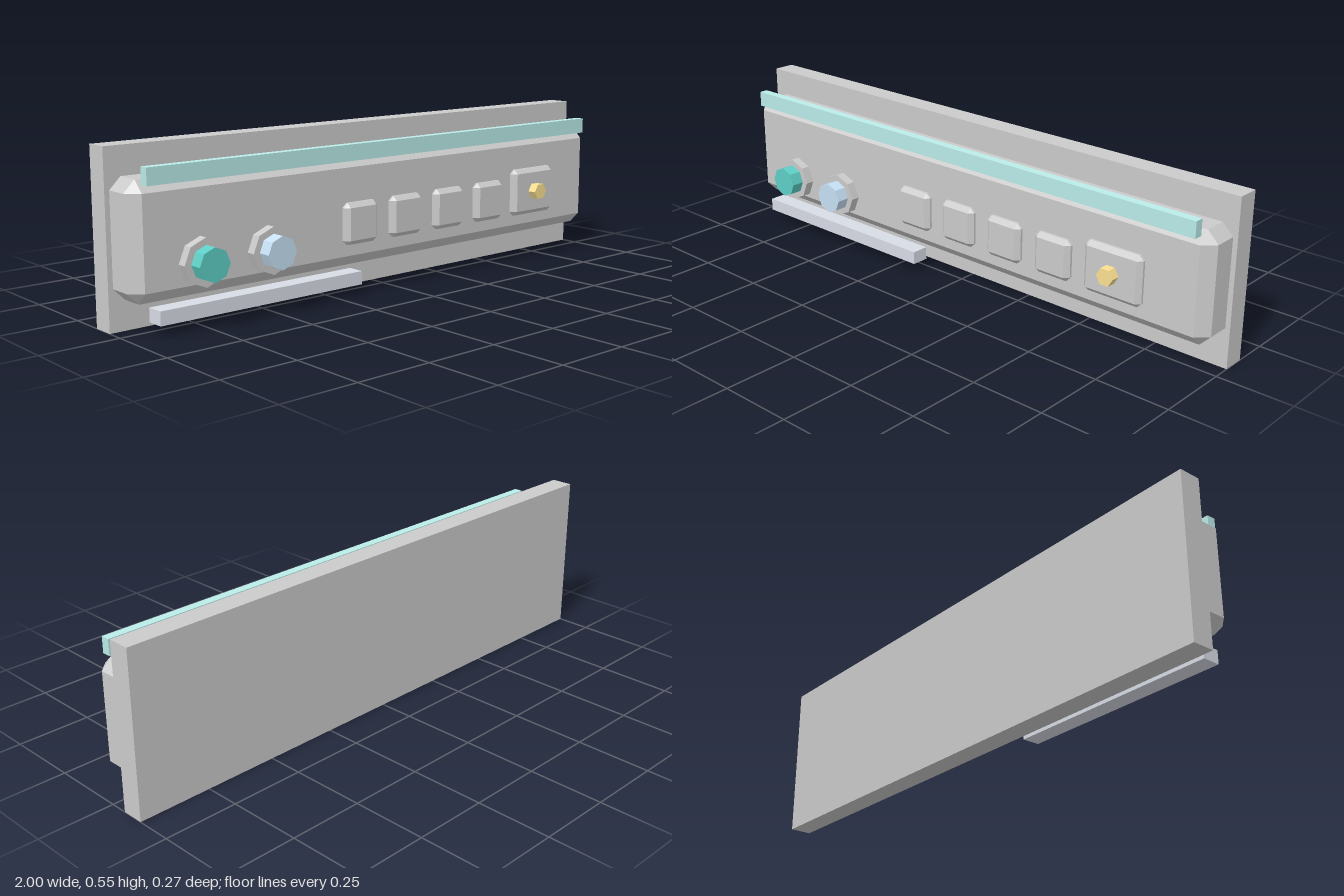
import * as THREE from 'three';
import { ConvexGeometry } from 'three/addons/geometries/ConvexGeometry.js';

const GREY = 0xcccccc;

function add(group, name, geometry, color, x, y, z) {
  const material = new THREE.MeshStandardMaterial({ color, flatShading: true });
  const mesh = new THREE.Mesh(geometry, material);
  mesh.name = name;
  mesh.position.set(x, y, z);
  group.add(mesh);
  return mesh;
}

// Box with every edge cut by a single flat chamfer b
function chamferBox(w, h, d, b) {
  const points = [];
  for (const sx of [-1, 1]) for (const sy of [-1, 1]) for (const sz of [-1, 1]) {
    const [x, y, z] = [w / 2, h / 2, d / 2];
    points.push(
      new THREE.Vector3(sx * x, sy * (y - b), sz * (z - b)),
      new THREE.Vector3(sx * (x - b), sy * y, sz * (z - b)),
      new THREE.Vector3(sx * (x - b), sy * (y - b), sz * z));
  }
  return new ConvexGeometry(points);
}

// Prism facing +z
function prism(radius, depth, sides, turn = 0) {
  return new THREE.CylinderGeometry(radius, radius, depth, sides).rotateY(turn).rotateX(Math.PI / 2);
}

export function createModel() {
  const model = new THREE.Group();
  model.name = 'controlPanel';

  // Wall plate and raised chamfered housing
  add(model, 'backPlate', new THREE.BoxGeometry(2, 0.545, 0.075), GREY, 0, 0.2725, -0.095);
  add(model, 'housing', chamferBox(1.968, 0.362, 0.177, 0.037), GREY, 0, 0.274, -0.0315);

  // Light strip above and tray strip below
  add(model, 'lightStrip', new THREE.BoxGeometry(1.88, 0.053, 0.03), 0xbaece9, 0, 0.467, 0.058);
  add(model, 'lowerStrip', new THREE.BoxGeometry(0.755, 0.044, 0.06), 0xd8dce6, -0.532, 0.055, 0.043);

  // Two octagonal knobs on wider collars
  [[-0.759, 0x5fcfc6], [-0.517, 0xc6e0f4]].forEach(([x, color], i) => {
    const knob = new THREE.Group();
    knob.name = `knob${i + 1}`;
    knob.position.set(x, 0.199, 0);
    add(knob, 'knobCollar', prism(0.075, 0.036, 8), GREY, 0, 0, 0.07);
    add(knob, 'knobCap', prism(0.053, 0.05, 8), color, 0, 0, 0.108);
    model.add(knob);
  });

  // Row of four small keys
  for (let i = 0; i < 4; i++) {
    add(model, `key${i + 1}`, chamferBox(0.137, 0.137, 0.05, 0.015), GREY, -0.153 + i * 0.197, 0.237, 0.055);
  }

  // Large key with a hexagonal indicator
  add(model, 'largeKey', chamferBox(0.209, 0.167, 0.05, 0.015), GREY, 0.666, 0.25, 0.055);
  add(model, 'indicator', prism(0.03, 0.036, 6, Math.PI / 6), 0xfbe092, 0.666, 0.251, 0.093);

  return model;
}
